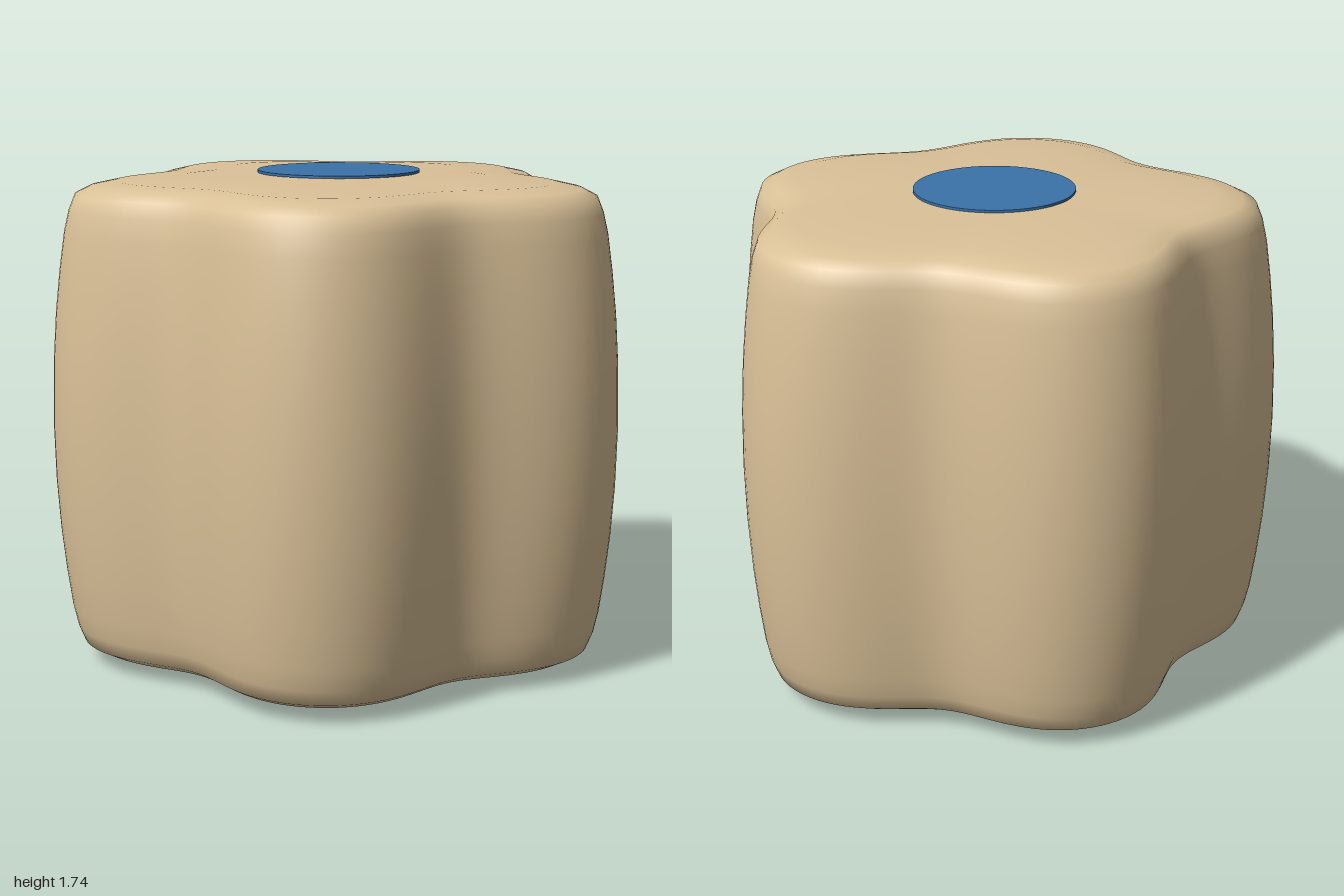
import * as THREE from 'three';
import { mergeVertices } from 'three/addons/utils/BufferGeometryUtils.js';

const CENTRE_Z = 0.055;
const MID_Y = 0.87;

// Five-lobed outline: radius at an angle measured from +z
function lobeRadius(angle) {
  const a = 5 * (angle - Math.PI);
  return 0.943 + 0.09 * Math.cos(a) - 0.006 * Math.cos(2 * a);
}

export function createModel() {
  const tan = new THREE.MeshStandardMaterial({ color: 0xdac198 });
  tan.name = 'tan';
  const blue = new THREE.MeshStandardMaterial({ color: 0x3b72a9 });
  blue.name = 'blue';
  const group = new THREE.Group();
  group.name = 'lobedPillow';

  // Lower half of the side profile as [scale, y], mirrored for the upper half
  const half = [[0, 0.008], [0.28, 0.01], [0.55, 0.016], [0.77, 0.027], [0.86, 0.045], [0.91, 0.07],
    [0.932, 0.125], [0.949, 0.2], [0.967, 0.33], [0.983, 0.48], [0.995, 0.66]];
  const profile = [...half, [1, MID_Y], ...half.slice().reverse().map(([s, y]) => [s, 2 * MID_Y - y])];

  // Barrel body, pushed out into five lobes
  let geometry = new THREE.LatheGeometry(profile.map(([s, y]) => new THREE.Vector2(s, y)), 160);
  const pos = geometry.attributes.position;
  for (let i = 0; i < pos.count; i++) {
    const x = pos.getX(i), z = pos.getZ(i);
    const r = lobeRadius(Math.atan2(x, z));
    pos.setX(i, x * r);
    pos.setZ(i, z * r);
  }
  geometry.deleteAttribute('uv');
  geometry.deleteAttribute('normal');
  geometry = mergeVertices(geometry, 1e-5); // close the seam for smooth shading
  geometry.computeVertexNormals();
  const body = new THREE.Mesh(geometry, tan);
  body.name = 'body';
  body.position.z = CENTRE_Z;
  group.add(body);

  // Round discs in the middle of the top and bottom
  for (const [name, y] of [['topDisc', 2 * MID_Y - 0.0045], ['bottomDisc', 0.0045]]) {
    const disc = new THREE.Mesh(new THREE.CylinderGeometry(0.287, 0.287, 0.009, 64), blue);
    disc.name = name;
    disc.position.set(0, y, CENTRE_Z);
    group.add(disc);
  }
  return group;
}
